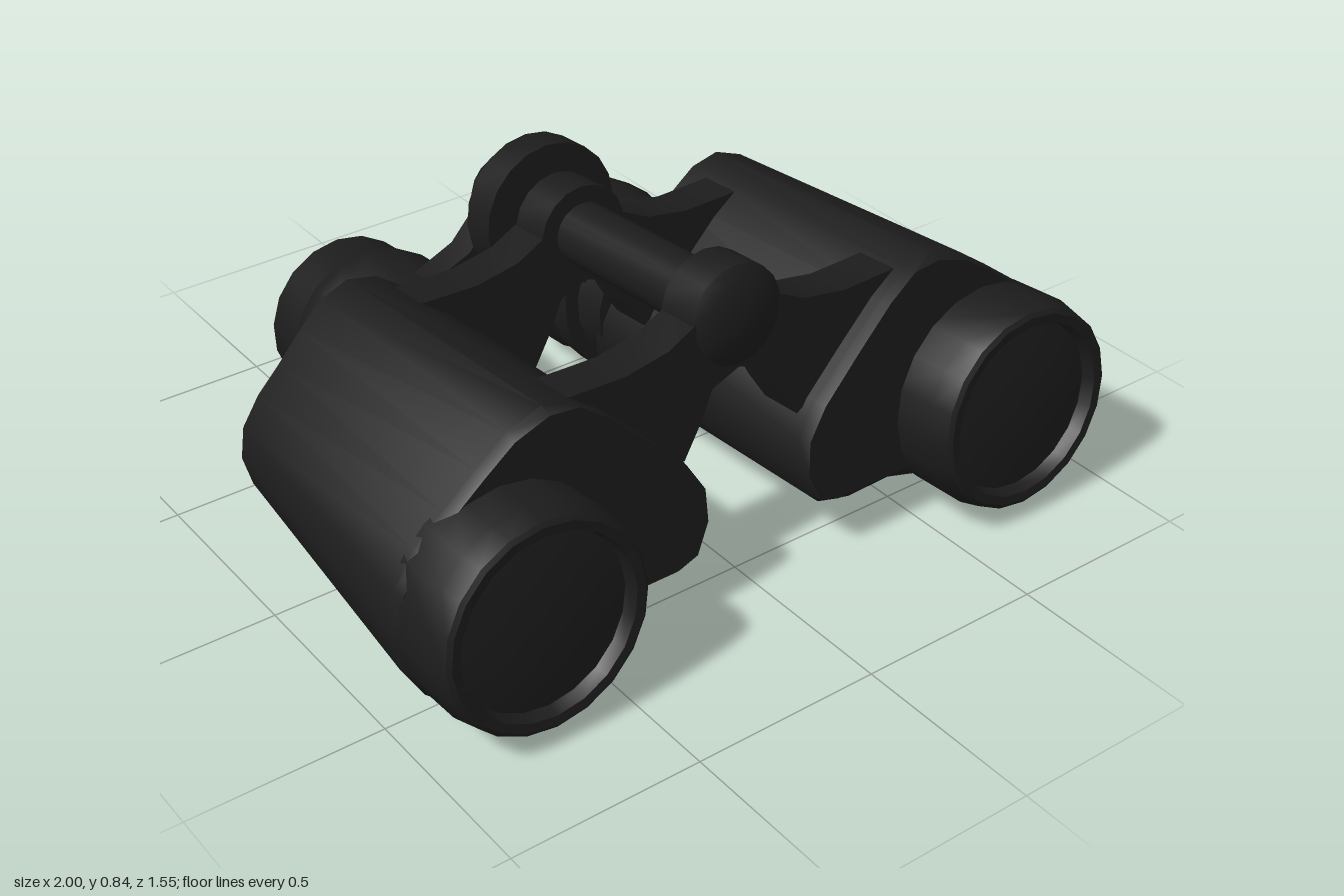
import * as THREE from 'three';
import { toCreasedNormals } from 'three/addons/utils/BufferGeometryUtils.js';

const black = new THREE.MeshStandardMaterial({ color: 0x1c1c1c });
black.name = 'matte black';

const crease = (geo, angle = 0.6) => toCreasedNormals(geo, angle);

// Turned part along z; profile is [radius, z] with z rising on the outside.
function turned(profile, x, y, sides = 18) {
  const geo = new THREE.LatheGeometry(profile.map(([r, z]) => new THREE.Vector2(r, z)), sides);
  geo.rotateX(Math.PI / 2).translate(x, y, 0);
  return crease(geo);
}

// Plate cut from an outline in x and y, running from z0 to z1.
function plate(outline, z0, z1) {
  const shape = new THREE.Shape(outline.map(([x, y]) => new THREE.Vector2(x, y)));
  const geo = new THREE.ExtrudeGeometry(shape, { depth: z1 - z0, bevelEnabled: false });
  return crease(geo.translate(0, 0, z0));
}

// Copy across x = 0, with the corner order turned round.
function mirrored(geo) {
  const copy = geo.clone().scale(-1, 1, 1);
  for (const name of ['position', 'normal']) {
    const a = copy.getAttribute(name);
    for (let i = 0; i < a.count; i += 3) {
      const p = [a.getX(i), a.getY(i), a.getZ(i)];
      a.setXYZ(i, a.getX(i + 2), a.getY(i + 2), a.getZ(i + 2));
      a.setXYZ(i + 2, ...p);
    }
  }
  return copy;
}

// Capped skin over cross-sections of [x, y, z], listed from rear to front.
function loft(sections) {
  const n = sections[0].length;
  const index = [];
  for (let s = 0; s < sections.length - 1; s++) {
    for (let i = 0; i < n; i++) {
      const a = s * n + i, b = s * n + (i + 1) % n;
      index.push(a, b, b + n, a, b + n, a + n);
    }
  }
  const cap = (k, flip) => {
    const contour = sections[k].map(([x, y]) => new THREE.Vector2(x, y));
    for (const [a, b, c] of THREE.ShapeUtils.triangulateShape(contour, [])) {
      const o = k * n;
      index.push(o + a, o + (flip ? c : b), o + (flip ? b : c));
    }
  };
  cap(0, true);
  cap(sections.length - 1, false);
  const geo = new THREE.BufferGeometry();
  geo.setAttribute('position', new THREE.Float32BufferAttribute(sections.flat(2), 3));
  geo.setIndex(index);
  return crease(geo);
}

// Prism housing outline: front x, front y, rear x, rear y
const housing = [
  [0.24, 0.06, 0.24, 0.08], [0.34, 0.035, 0.34, 0.06], [0.45, 0.045, 0.45, 0.07],
  [0.53, 0.045, 0.53, 0.08], [0.62, -0.022, 0.60, 0.045], [0.72, -0.047, 0.66, 0.038],
  [0.83, -0.022, 0.74, 0.055], [0.93, 0.055, 0.83, 0.12], [0.985, 0.15, 0.89, 0.20],
  [1.0, 0.245, 0.91, 0.28], [0.98, 0.35, 0.895, 0.36], [0.92, 0.43, 0.845, 0.43],
  [0.84, 0.492, 0.78, 0.492], [0.75, 0.56, 0.715, 0.56], [0.665, 0.62, 0.65, 0.62],
  [0.57, 0.652, 0.57, 0.65], [0.49, 0.632, 0.49, 0.632], [0.41, 0.575, 0.41, 0.575],
  [0.30, 0.47, 0.30, 0.47], [0.20, 0.37, 0.20, 0.37], [0.15, 0.29, 0.15, 0.29],
  [0.145, 0.20, 0.145, 0.20], [0.18, 0.12, 0.18, 0.13],
];

export function createModel() {
  const group = new THREE.Group();
  group.name = 'binoculars';
  group.rotation.x = -0.087;

  const add = (name, geo) => {
    const mesh = new THREE.Mesh(geo, black);
    mesh.name = name;
    group.add(mesh);
  };
  const pair = (name, geo) => {
    add('left ' + name, geo);
    add('right ' + name, mirrored(geo));
  };

  // Housing, with the lower inner front edge bevelled
  pair('prism housing', loft([
    housing.map(([, , x, y]) => [x, y, -0.26]),
    housing.map(([x, y]) => [x, y, x < 0.5 && y < 0.1 ? 0.53 : 0.57]),
    housing.map(([x, y]) => [x + (0.6 - x) * 0.02, x < 0.56 ? Math.max(y, 0.1) : y + (0.25 - y) * 0.03, 0.602]),
  ]));

  // Objective barrel with a rim and a recessed lens
  pair('objective barrel', turned([
    [0.277, 0.55], [0.279, 0.71], [0.266, 0.765], [0.255, 0.773], [0.232, 0.771], [0.225, 0.74], [0.222, 0.735],
  ], 0.715, 0.242, 20));
  pair('objective lens', turned([[0.23, 0.73], [0.222, 0.738], [0.15, 0.748], [0, 0.754]], 0.715, 0.242, 20));

  // Eyepiece with hollow cup, grip band, mounting ring and closed neck
  pair('eyepiece', turned([
    [0.1, -0.64], [0.13, -0.66], [0.19, -0.72], [0.2, -0.735], [0.218, -0.735],
    [0.22, -0.605], [0.232, -0.595], [0.24, -0.565], [0.24, -0.48], [0.222, -0.41],
    [0.222, -0.395], [0.24, -0.395], [0.24, -0.33], [0.2, -0.33], [0.2, -0.23], [0, -0.23],
  ], 0.34, 0.298));
  pair('ocular lens', turned([[0, -0.64], [0.08, -0.635], [0.12, -0.625]], 0.34, 0.298));

  // Hinge arms at the front and the rear of the housings
  const arm = [
    [0, 0.53], [0.08, 0.5], [0.12, 0.42], [0.17, 0.34], [0.3, 0.42], [0.47, 0.5],
    [0.49, 0.625], [0.4, 0.622], [0.32, 0.62], [0.2, 0.64], [0.1, 0.69], [0, 0.7],
  ];
  pair('front hinge arm', plate(arm, 0.42, 0.54));
  pair('rear hinge arm', plate(arm, -0.19, -0.07));

  // Moving bridge that carries the eyepieces
  pair('eyepiece bridge', plate([
    [0, 0.47], [0.07, 0.48], [0.12, 0.44], [0.17, 0.36], [0.4, 0.4], [0.42, 0.51],
    [0.3, 0.535], [0.19, 0.58], [0.13, 0.64], [0.08, 0.7], [0, 0.71],
  ], -0.395, -0.31));

  // Sloping web that supports the focus shaft cap
  const web = (w, low, z) => [[-w, low, z], [w, low, z], [w * 0.8, 0.66, z], [-w * 0.8, 0.66, z]];
  add('bridge web', loft([web(0.07, 0.58, -0.453), web(0.11, 0.515, -0.375)]));

  // Central hinge and focus parts share one axis
  const hub = 0.66;
  add('hinge axle', turned([[0, -0.3], [0.08, -0.3], [0.08, 0.45], [0, 0.45]], 0, hub));
  add('front hinge cap', turned([
    [0, 0.42], [0.13, 0.42], [0.13, 0.535], [0.1, 0.556], [0.05, 0.565], [0, 0.57],
  ], 0, hub));
  add('rear hinge collar', turned([[0, -0.185], [0.125, -0.185], [0.125, -0.07], [0, -0.07]], 0, hub));
  add('focus wheel', turned([
    [0, -0.305], [0.192, -0.305], [0.192, -0.21], [0, -0.21],
  ], 0, hub, 20));
  add('focus shaft cap', turned([
    [0, -0.465], [0.06, -0.46], [0.095, -0.435], [0.1, -0.4], [0.1, -0.29], [0, -0.29],
  ], 0, hub));

  // Small lug under each housing
  pair('strap lug', new THREE.BoxGeometry(0.3, 0.016, 0.06)
    .rotateZ(-0.2).translate(0.46, 0.046, -0.1).toNonIndexed());

  const model = new THREE.Group();
  model.name = 'model';
  model.add(group);
  return model;
}
